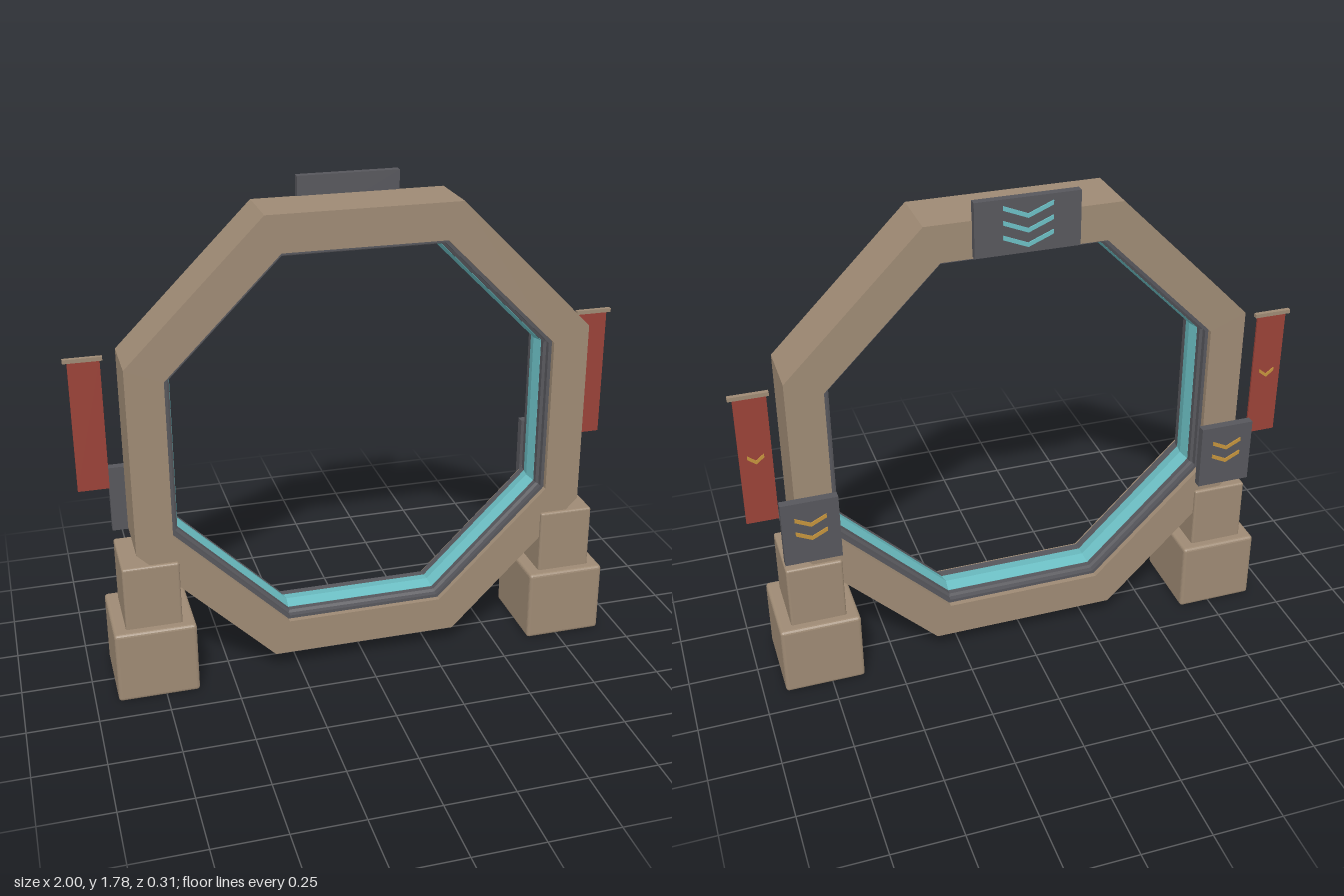
import * as THREE from 'three';
import { RoundedBoxGeometry } from 'three/addons/geometries/RoundedBoxGeometry.js';

const mat = (name, color, flatShading = false) => {
  const m = new THREE.MeshStandardMaterial({ color, flatShading });
  m.name = name;
  return m;
};

export function createModel() {
  const group = new THREE.Group();
  const stone = mat('stone', 0x9e8a74, true);
  const slate = mat('slate', 0x57575c, true);
  const glow = mat('glow', 0x6cbfc4, true);
  const cloth = mat('cloth', 0x9a4238);
  const gold = mat('gold', 0xc4933c);
  const centreY = 0.89;

  const add = (name, geometry, material, x = 0, y = 0, z = 0) => {
    const mesh = new THREE.Mesh(geometry, material);
    mesh.name = name;
    mesh.position.set(x, y, z);
    group.add(mesh);
    return mesh;
  };
  const box = (name, material, x, y, z, w, h, d) =>
    add(name, new THREE.BoxGeometry(w, h, d), material, x, y, z);

  // Eight-sided ring from a closed profile of [apothem, depth] points
  const ring = (name, material, profile) => {
    const k = 1 / Math.cos(Math.PI / 8);
    const pts = [...profile, profile[0]].map(([r, z]) => new THREE.Vector2(r * k, z));
    const geo = new THREE.LatheGeometry(pts, 8, Math.PI / 8);
    geo.rotateX(Math.PI / 2);
    add(name, geo, material, 0, centreY, 0);
  };

  // Thin V mark lying on a rear face at depth z
  const chevron = (name, material, x, topY, z, half, drop, t) => {
    const s = new THREE.Shape([
      [-half, 0], [0, -drop + t], [half, 0], [half, -t], [0, -drop], [-half, -t],
    ].map(([px, py]) => new THREE.Vector2(px, py)));
    const geo = new THREE.ExtrudeGeometry(s, { depth: 0.005, bevelEnabled: false });
    add(name, geo, material, x, topY, z - 0.004);
  };

  // Gate ring, stepped inner lining and glowing strip
  ring('gateRing', stone, [[0.69, -0.11], [0.82, -0.11], [0.82, 0.11], [0.69, 0.11]]);
  ring('innerLining', slate, [
    [0.70, -0.09], [0.70, 0.09], [0.678, 0.09], [0.678, 0.07], [0.668, 0.065], [0.668, 0.045],
    [0.68, 0.04], [0.68, -0.04], [0.668, -0.045], [0.668, -0.065], [0.678, -0.07], [0.678, -0.09],
  ]);
  ring('glowStrip', glow, [[0.685, -0.045], [0.685, 0.045], [0.667, 0.045], [0.658, 0], [0.667, -0.045]]);

  // Plaque behind the top of the ring
  box('topPlaque', slate, 0, 1.683, -0.12, 0.36, 0.19, 0.028);
  for (let i = 0; i < 3; i++) {
    chevron('topChevron', glow, 0, 1.757 - i * 0.05, -0.134, 0.085, 0.05, 0.015);
  }

  for (const s of [1, -1]) {
    const x = s * 0.775;
    // Stepped pedestal
    add('pedestalBase', new RoundedBoxGeometry(0.29, 0.27, 0.312, 2, 0.012), stone, x, 0.135, 0);
    add('pedestalBlock', new RoundedBoxGeometry(0.2, 0.255, 0.245, 2, 0.008), stone, x, 0.38, 0);

    // Side plaque
    box('sidePlaque', slate, x, 0.667, -0.125, 0.2, 0.245, 0.03);
    for (let i = 0; i < 2; i++) {
      chevron('sideChevron', gold, x, 0.732 - i * 0.055, -0.14, 0.055, 0.042, 0.015);
    }

    // Hanging banner and its rod
    box('banner', cloth, s * 0.93, 0.96, -0.098, 0.11, 0.48, 0.008);
    box('bannerRod', stone, s * 0.933, 1.205, -0.098, 0.134, 0.014, 0.016);
    chevron('bannerChevron', gold, s * 0.93, 0.985, -0.102, 0.028, 0.035, 0.013);
  }
  return group;
}
